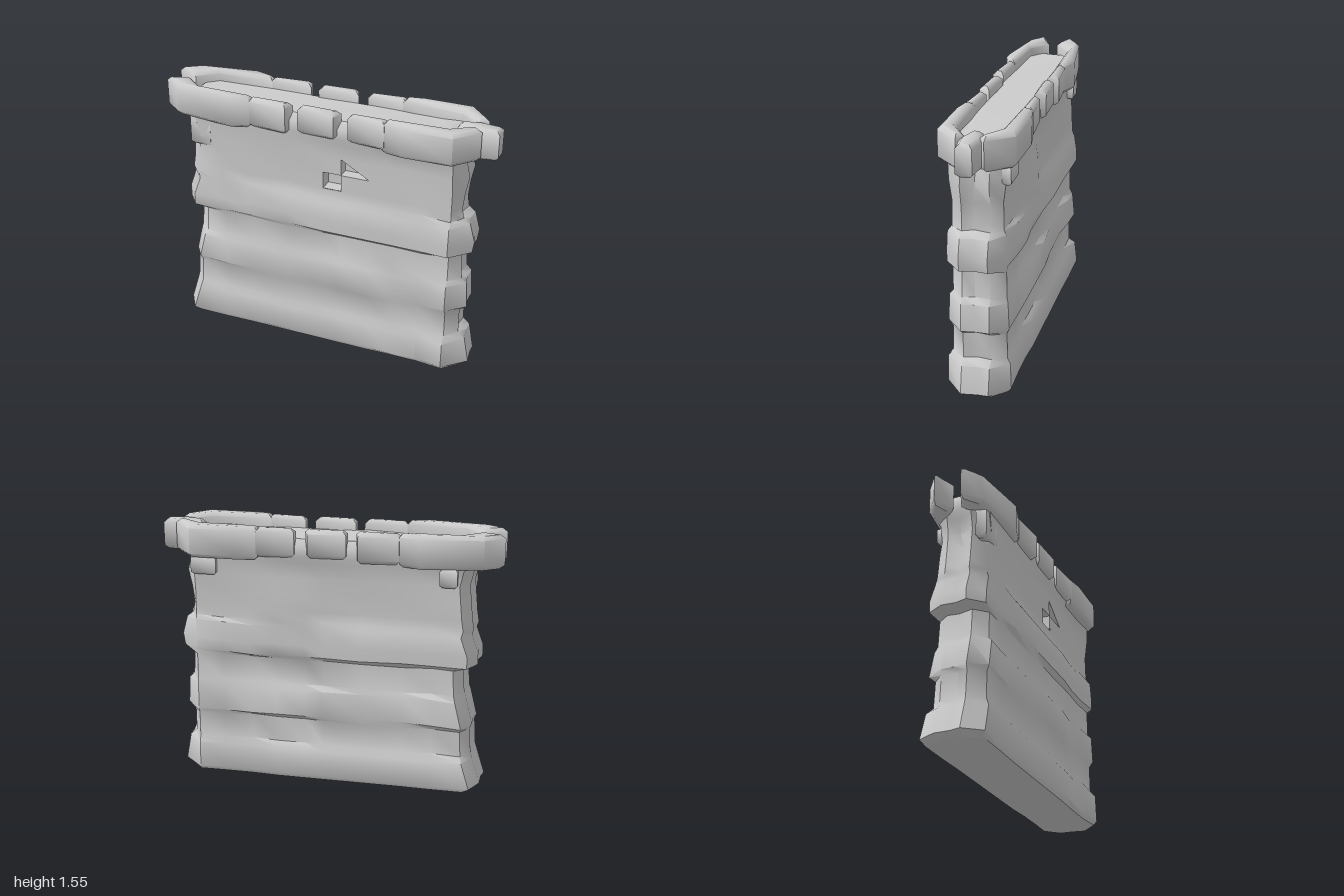
import * as THREE from 'three';
import { toCreasedNormals } from 'three/addons/utils/BufferGeometryUtils.js';

const stone = new THREE.MeshStandardMaterial({ color: 0xcccccc });

// Repeatable noise in -1..1
function noise(a, b) {
  const s = Math.sin(a * 127.1 + b * 311.7) * 43758.5453;
  return (s - Math.floor(s)) * 2 - 1;
}

// Courses of the wall: height, half depth, left end, right end, course number
const levels = [
  [0.01, 0.165, -0.89, 0.88, 0], [0.04, 0.185, -0.93, 0.92, 0], [0.2, 0.18, -0.88, 0.89, 0],
  [0.235, 0.15, -0.87, 0.85, 1], [0.39, 0.148, -0.86, 0.85, 1],
  [0.42, 0.168, -0.87, 0.89, 2], [0.58, 0.162, -0.83, 0.88, 2],
  [0.61, 0.15, -0.82, 0.85, 3], [0.765, 0.148, -0.81, 0.84, 3],
  [0.79, 0.17, -0.89, 0.9, 4], [0.86, 0.17, -0.89, 0.91, 4], [0.97, 0.163, -0.85, 0.88, 4],
  [1.0, 0.15, -0.86, 0.84, 5], [1.06, 0.15, -0.85, 0.83, 5], [1.16, 0.148, -0.84, 0.84, 5],
  [1.26, 0.148, -0.83, 0.86, 6], [1.35, 0.15, -0.85, 0.84, 6],
  [1.39, 0.165, -0.86, 0.84, 7], [1.45, 0.165, -0.86, 0.83, 7], [1.49, 0.13, -0.84, 0.76, 7],
];
const columns = [-0.8, -0.62, -0.45, -0.2, 0.02, 0.13, 0.3, 0.45, 0.62, 0.785];

// One closed loop around the wall, front left to right and back again
function wallLoop([y, depth, left, right, course]) {
  const face = (side) => columns.map((x, i) => {
    const smooth = course > 6 || (side > 0 && y > 0.99 && i > 3 && i < 7);
    const block = Math.floor((x + (course % 2) * 0.22 + 1) / 0.44);
    const bump = smooth ? 0 : noise(block + side * 7, course) * 0.011;
    const px = i === 0 ? left + 0.07 : i === columns.length - 1 ? Math.min(x, right) : x;
    const lift = i > 3 && i < 7 ? 0 : noise(i + side * 3, course + 9) * 0.008;
    return [px, y < 0.02 ? y : y + lift, side * (depth + bump)];
  });
  const groove = 0.025 + 0.015 * noise(course, 4);
  return [
    ...face(1),
    [right, y, 0.075], [right - groove, y, 0.02 * noise(course, 2)], [right - 0.015, y, -0.08],
    ...face(-1).reverse(),
    [left + 0.015, y, -0.08], [left + groove, y, 0.02 * noise(course, 6)], [left, y, 0.075],
  ];
}

function wallGeometry() {
  const loops = levels.map(wallLoop), n = loops[0].length, index = [];
  for (let r = 0; r < loops.length - 1; r++) {
    for (let i = 0; i < n; i++) {
      const a = r * n + i, b = r * n + (i + 1) % n, c = b + n, d = a + n;
      const squareHole = r === 13 && i === 4, cornerHole = r === 14 && i === 5;
      if (squareHole) continue;
      if (!cornerHole) index.push(a, b, d);
      index.push(b, c, d);
    }
  }
  // Underside and walkway
  const cap = (r, flip) => {
    const outline = loops[r].map(([x, , z]) => new THREE.Vector2(x, -z));
    for (const [a, b, c] of THREE.ShapeUtils.triangulateShape(outline, []))
      index.push(r * n + a, r * n + (flip ? c : b), r * n + (flip ? b : c));
  };
  cap(0, true);
  cap(loops.length - 1, false);
  const g = new THREE.BufferGeometry();
  g.setAttribute('position', new THREE.Float32BufferAttribute(loops.flat(2), 3));
  g.setIndex(index);
  return toCreasedNormals(g, 0.75);
}

// Bevelled stone from a plan outline in x and z
function planStone(plan, y0, y1, bevel = 0.022) {
  const shape = new THREE.Shape(plan.map(([x, z]) => new THREE.Vector2(x, -z)));
  const g = new THREE.ExtrudeGeometry(shape, {
    depth: y1 - y0 - 2 * bevel, bevelEnabled: true, bevelSegments: 1,
    bevelSize: bevel, bevelOffset: -bevel, bevelThickness: bevel,
  });
  g.rotateX(-Math.PI / 2).translate(0, y0 + bevel, 0);
  return toCreasedNormals(g, 0.9);
}

// Inward-facing lining of a hole in the front face
function recess(points, depth) {
  const shape = new THREE.Shape(points.map(([x, y]) => new THREE.Vector2(x, y)));
  const g = new THREE.ExtrudeGeometry(shape, { depth, bevelEnabled: false });
  g.scale(1, 1, -1).translate(0, 0, 0.149);
  g.computeVertexNormals();
  return g;
}

export function createModel() {
  const group = new THREE.Group();
  const add = (name, geometry) => {
    const mesh = new THREE.Mesh(geometry, stone);
    mesh.name = name;
    group.add(mesh);
  };

  add('wall', wallGeometry());
  add('squareRecess', recess([[0.02, 1.06], [0.13, 1.06], [0.13, 1.16], [0.02, 1.16]], 0.08));
  add('cornerRecess', recess([[0.13, 1.16], [0.3, 1.16], [0.13, 1.26]], 0.07));

  // Parapet stones: plan for the front, mirrored to the back, with bottom and top
  const parapet = [
    ['leftCorner', [[-0.42, 0.13], [-0.42, 0.175], [-0.54, 0.215], [-0.89, 0.165], [-1, 0.08], [-0.87, 0.025], [-0.76, 0.12]], 1.365, 1.56],
    ['leftMerlon', [[-0.43, 0.13], [-0.42, 0.18], [-0.19, 0.2], [-0.17, 0.13]], 1.375, 1.555],
    ['middleMerlon', [[-0.12, 0.12], [-0.12, 0.185], [0.1, 0.195], [0.125, 0.13]], 1.39, 1.555],
    ['rightMerlon', [[0.18, 0.13], [0.18, 0.18], [0.4, 0.2], [0.41, 0.13]], 1.385, 1.555],
    ['rightCorner', [[0.39, 0.13], [0.39, 0.195], [0.5, 0.215], [0.79, 0.212], [0.91, 0.075], [0.86, 0.04], [0.74, 0.12]], 1.365, 1.56],
  ];
  for (const side of [1, -1])
    for (const [name, plan, y0, y1] of parapet)
      add(`${side > 0 ? 'front' : 'back'}${name[0].toUpperCase()}${name.slice(1)}`,
        planStone(plan.map(([x, z]) => [x, z * side]), y0, y1));
  add('endStone', planStone([[0.76, 0.03], [0.88, 0.065], [1, 0.05], [1, -0.04], [0.87, -0.055], [0.76, -0.03]], 1.365, 1.545));

  // Small broken corbels under the parapet
  for (const [x, z, w] of [[0.72, -0.16, 0.15], [-0.7, -0.16, 0.1]])
    add('corbel', planStone([[x - w / 2, z + 0.03], [x + w / 2, z + 0.03], [x + w / 2, z - 0.025], [x - w / 2, z - 0.025]], 1.26, 1.37, 0.015));
  add('leftCorbel', planStone([[-0.84, 0.1], [-0.69, 0.1], [-0.69, 0.16], [-0.82, 0.155]], 1.19, 1.38, 0.015));

  return group;
}
